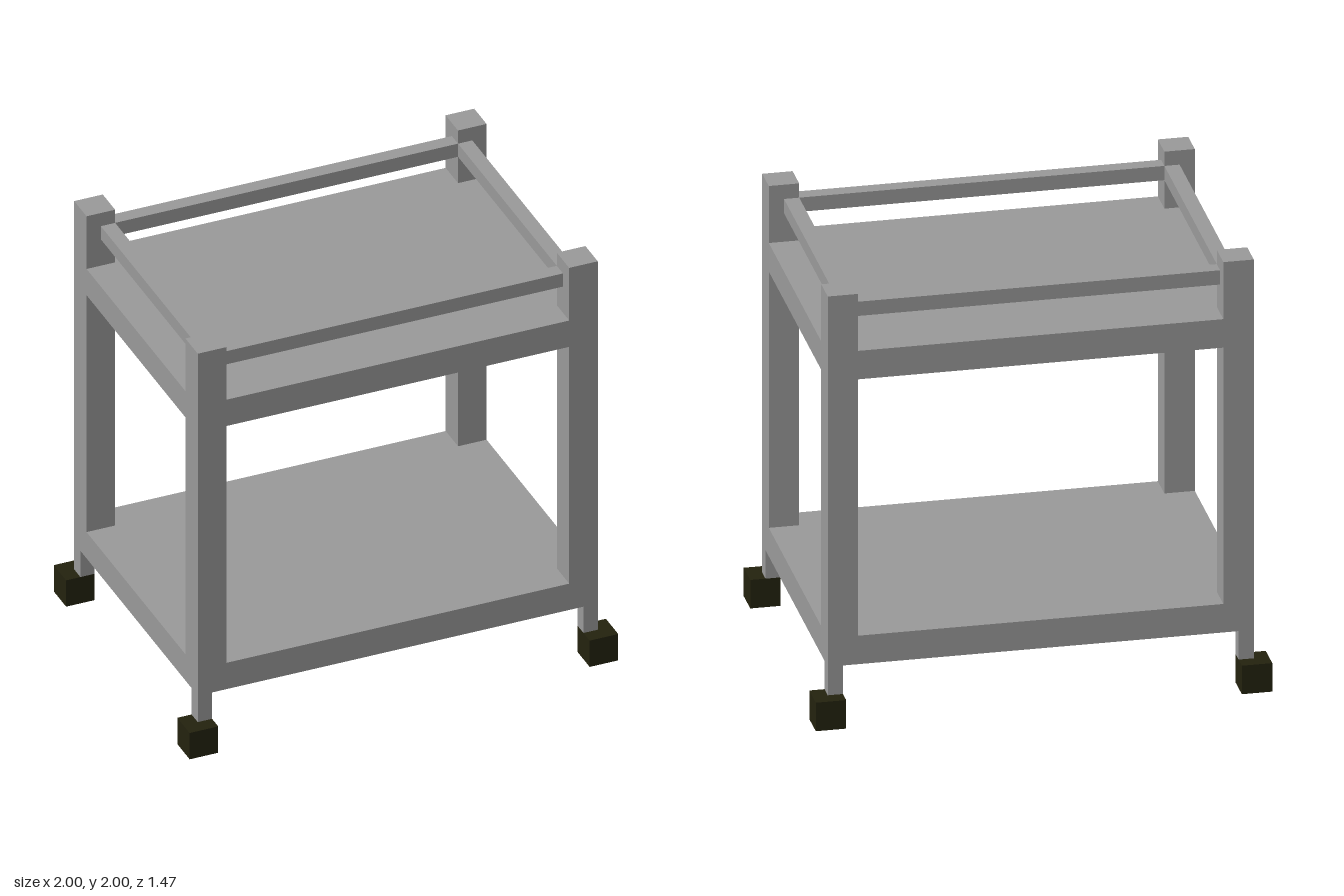
import * as THREE from 'three';

export function createModel() {
  const model = new THREE.Group();
  model.name = 'trolley';
  const grey = new THREE.MeshStandardMaterial({ color: 0x999999 });
  grey.name = 'grey metal';
  const black = new THREE.MeshStandardMaterial({ color: 0x23220e });
  black.name = 'dark rubber';

  const U = 1 / 15; // all parts sit on a grid of this unit

  // Box from its low and high corners, in grid units
  function box(name, lo, hi, material = grey) {
    const size = hi.map((h, i) => (h - lo[i]) * U);
    const mesh = new THREE.Mesh(new THREE.BoxGeometry(...size), material);
    mesh.position.set(...hi.map((h, i) => ((h + lo[i]) / 2) * U));
    mesh.name = name;
    model.add(mesh);
  }

  // Shelf with its corners notched around the posts
  function shelf(name, y) {
    const outline = [
      [-12, -10], [12, -10], [12, -8], [14, -8], [14, 8], [12, 8],
      [12, 10], [-12, 10], [-12, 8], [-14, 8], [-14, -8], [-12, -8],
    ].map(([x, z]) => new THREE.Vector2(x * U, z * U));
    const geometry = new THREE.ExtrudeGeometry(new THREE.Shape(outline), { depth: 2 * U, bevelEnabled: false });
    geometry.rotateX(-Math.PI / 2);
    const mesh = new THREE.Mesh(geometry, grey);
    mesh.position.y = y * U;
    mesh.name = name;
    model.add(mesh);
  }
  shelf('lowerShelf', 4);
  shelf('upperShelf', 24);

  // Corner posts, each with a thin foot and a block caster
  for (const sx of [-1, 1]) {
    for (const sz of [-1, 1]) {
      const corner = (name, x0, x1, y0, y1, z0, z1, material) => box(name,
        [Math.min(sx * x0, sx * x1), y0, Math.min(sz * z0, sz * z1)],
        [Math.max(sx * x0, sx * x1), y1, Math.max(sz * z0, sz * z1)], material);
      const side = (sz > 0 ? 'front' : 'back') + (sx > 0 ? 'Left' : 'Right');
      corner(side + 'Post', 12, 14, 4, 30, 8, 10);
      corner(side + 'Foot', 13, 14, 2, 4, 9, 10);
      corner(side + 'Caster', 13, 15, 0, 2, 9, 11, black);
    }
  }

  // Guard rails between the posts above the upper shelf
  box('frontRail', [-12, 28, 8], [12, 29, 9]);
  box('backRail', [-12, 28, -9], [12, 29, -8]);
  box('leftRail', [12, 28, -8], [13, 29, 8]);
  box('rightRail', [-13, 28, -8], [-12, 29, 8]);

  return model;
}
